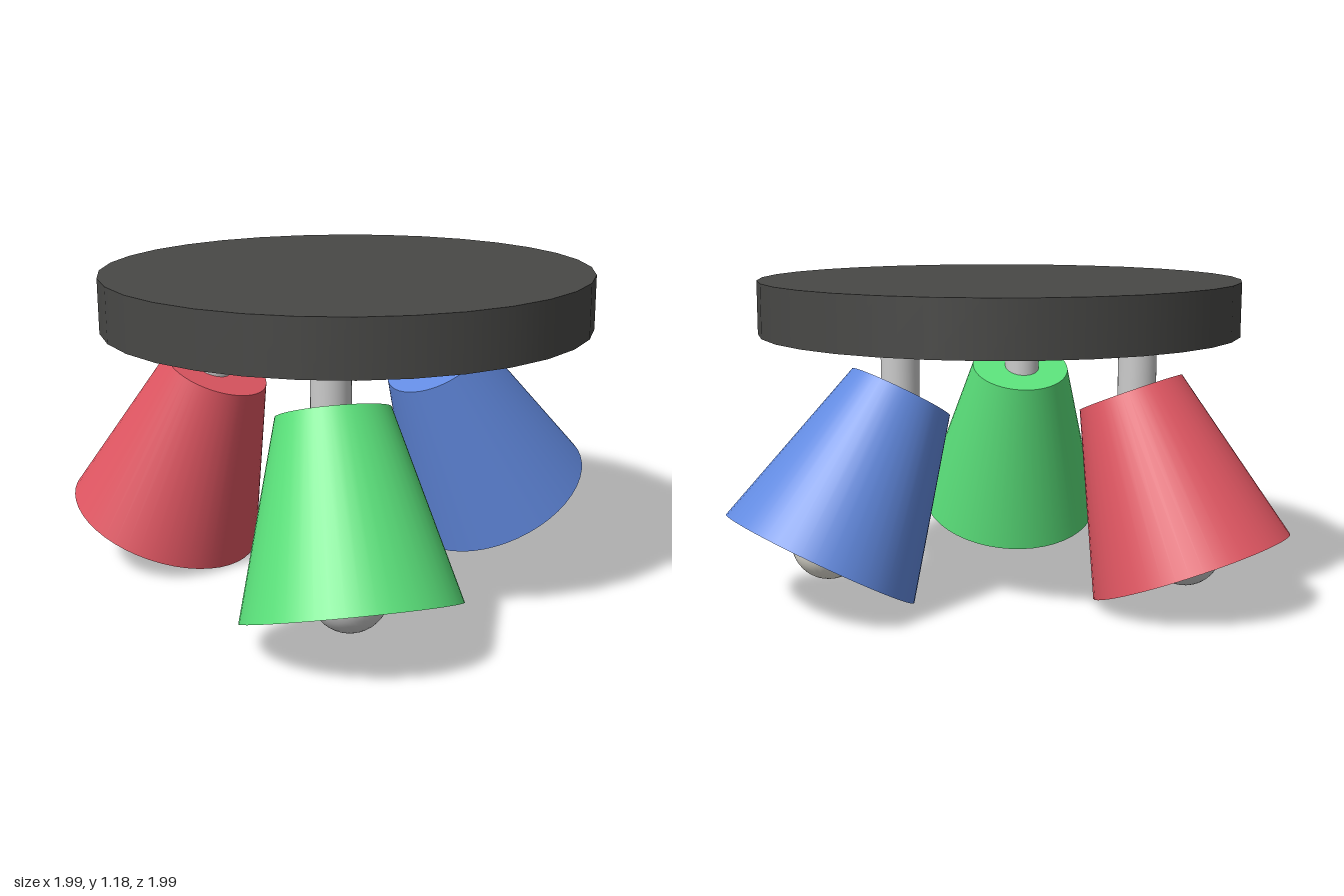
import * as THREE from 'three';
import { toCreasedNormals } from 'three/addons/utils/BufferGeometryUtils.js';

const LENGTH = 0.68; // shade height along its own axis

const grey = new THREE.MeshStandardMaterial({ color: 0xcccccc });
const paint = (color) => new THREE.MeshStandardMaterial({ color });

function addMesh(parent, name, geometry, material, x = 0, y = 0, z = 0) {
  const mesh = new THREE.Mesh(geometry, material);
  mesh.name = name;
  mesh.position.set(x, y, z);
  parent.add(mesh);
  return mesh;
}

// Closed-top hollow cone; origin at the centre of its top, opening towards -y
function shadeGeometry() {
  const profile = [
    [0, -0.05], [0.165, -0.05], [0.335, -LENGTH], [0.38, -LENGTH], [0.2, 0], [0, 0],
  ].map(([r, y]) => new THREE.Vector2(r, y));
  return toCreasedNormals(new THREE.LatheGeometry(profile, 48), 0.6);
}

// One spot: vertical stem, tilted shade, and a bulb on a neck inside it
function createSpot(name, top, bottom, stemX, stemZ, shadeMaterial, bulbMaterial) {
  const spot = new THREE.Group();
  spot.name = name;
  addMesh(spot, 'stem', new THREE.CylinderGeometry(0.071, 0.071, 0.27, 32), grey, stemX, 0.885, stemZ);

  const head = new THREE.Group();
  head.name = 'lampHead';
  head.position.copy(top);
  const axis = bottom.clone().sub(top).normalize();
  head.quaternion.setFromUnitVectors(new THREE.Vector3(0, -1, 0), axis);
  addMesh(head, 'shade', shadeGeometry(), shadeMaterial);
  addMesh(head, 'bulbNeck', new THREE.CylinderGeometry(0.08, 0.08, 0.5, 24), bulbMaterial, 0, -0.28, 0);
  addMesh(head, 'bulb', new THREE.SphereGeometry(0.137, 32, 20), bulbMaterial, 0, -0.61, 0);
  spot.add(head);
  return spot;
}

export function createModel() {
  const model = new THREE.Group();
  model.name = 'ceilingSpotlight';

  // Round ceiling plate
  addMesh(model, 'ceilingPlate', new THREE.CylinderGeometry(0.91, 0.91, 0.2, 32), paint(0x484846), 0, 1.1, 0.085);

  // Three spots fanning outwards
  const v = (x, y, z) => new THREE.Vector3(x, y, z);
  model.add(
    createSpot('leftSpot', v(0.4, 0.795, 0.43), v(0.638, 0.165, 0.525), 0.395, 0.435, paint(0x5ae07a), grey),
    createSpot('rightSpot', v(-0.405, 0.79, 0.415), v(-0.64, 0.155, 0.535), -0.415, 0.435, paint(0xe05662), grey),
    createSpot('backSpot', v(0, 0.795, -0.335), v(0.01, 0.2, -0.667), 0, -0.338, paint(0x628ae0), paint(0xe8e5da)),
  );
  return model;
}
